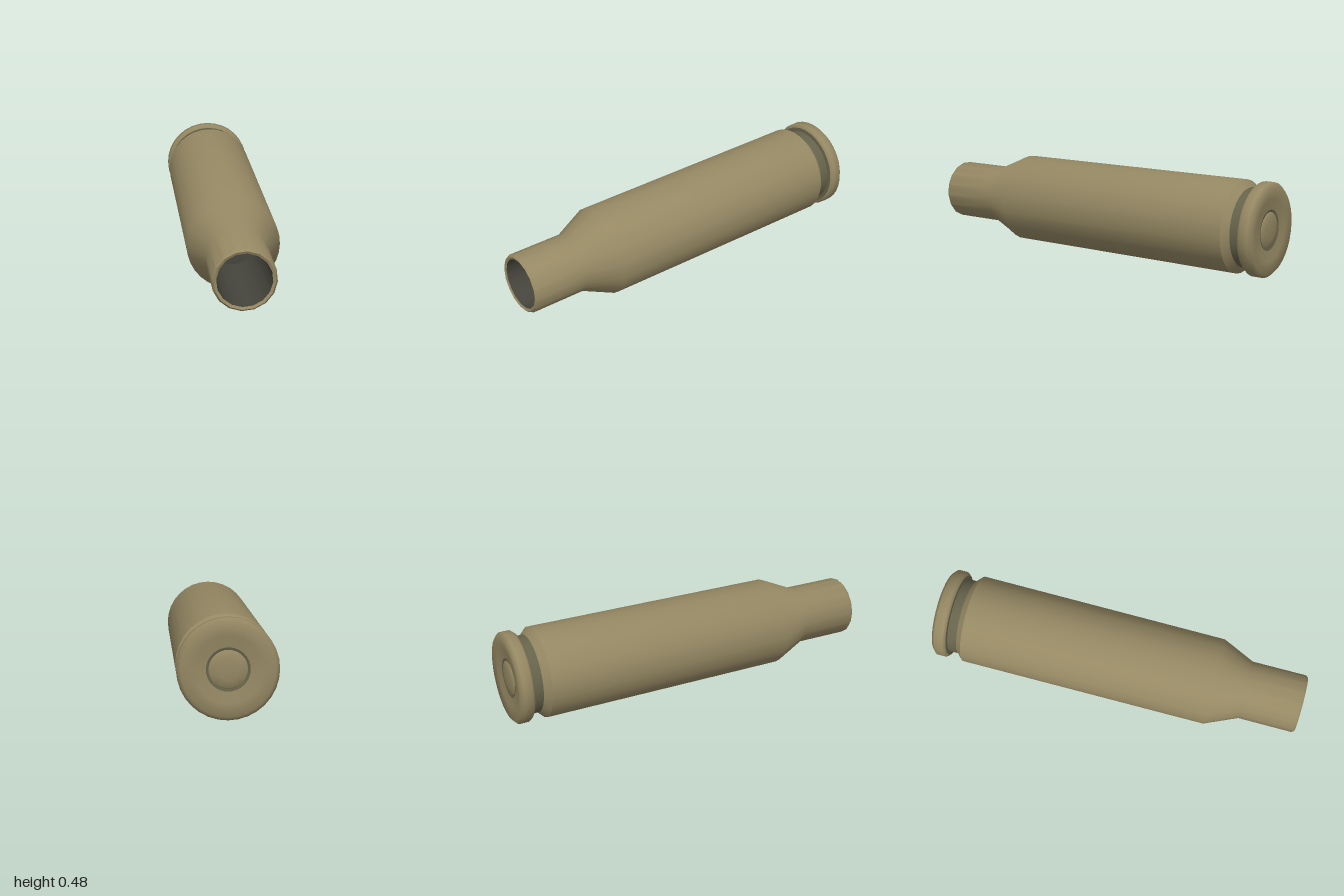
import * as THREE from 'three';
import { toCreasedNormals } from 'three/addons/utils/BufferGeometryUtils.js';

const SIDES = 32;
const AXIS_Y = 0.241;

const brass = new THREE.MeshStandardMaterial({ color: 0x958863 });
brass.name = 'brass';
const dullBrass = new THREE.MeshStandardMaterial({ color: 0x66634b });
dullBrass.name = 'dullBrass';
const soot = new THREE.MeshStandardMaterial({ color: 0x45453c });
soot.name = 'soot';

// Turns a profile of [radius, z] pairs about the z axis.
// Rows beyond neckZ become a 16-sided section, twisted slightly.
function turned(name, profile, material, crease, neckZ = Infinity) {
  const points = profile.map(([r, z]) => new THREE.Vector2(r, z));
  const geo = new THREE.LatheGeometry(points, SIDES);
  geo.rotateX(Math.PI / 2);
  const pos = geo.attributes.position;
  const v = new THREE.Vector3();
  const axis = new THREE.Vector3(0, 0, 1);
  for (let i = 0; i < pos.count; i++) {
    v.fromBufferAttribute(pos, i);
    if (v.z < neckZ) continue;
    const segment = Math.floor(i / points.length);
    const k = segment % 2 ? Math.cos(Math.PI / 16) : 1;
    v.x *= k;
    v.y *= k;
    v.applyAxisAngle(axis, -0.087);
    pos.setXYZ(i, v.x, v.y, v.z);
  }
  const mesh = new THREE.Mesh(toCreasedNormals(geo, crease), material);
  mesh.name = name;
  mesh.position.y = AXIS_Y;
  return mesh;
}

export function createModel() {
  const group = new THREE.Group();
  group.name = 'casing';

  // Tapered body, shoulder, neck and rounded mouth lip
  group.add(turned('body', [
    [0.205, -0.87], [0.24, -0.835], [0.235, 0.52], [0.157, 0.695],
    [0.157, 0.988], [0.147, 1], [0.134, 0.994],
  ], brass, 0.7, 0.6));

  // Hollow inside of the neck with its floor
  group.add(turned('bore', [
    [0.134, 0.994], [0.133, 0.45], [0, 0.45],
  ], soot, 0.7, 0.4));

  // Extractor groove
  group.add(turned('groove', [
    [0.225, -0.922], [0.205, -0.92], [0.205, -0.868],
  ], dullBrass, 0.7));

  // Rim with a gently dished base
  group.add(turned('rim', [
    [0.104, -0.985], [0.16, -0.992], [0.222, -1], [0.241, -0.982],
    [0.241, -0.937], [0.228, -0.922], [0.2, -0.922],
  ], brass, 0.9));

  // Narrow seam round the primer
  group.add(turned('primerSeam', [
    [0.092, -0.982], [0.104, -0.985],
  ], dullBrass, 0.7));

  // Slightly domed primer
  group.add(turned('primer', [
    [0, -0.994], [0.05, -0.992], [0.085, -0.987], [0.092, -0.982],
  ], brass, 0.9));

  return group;
}
